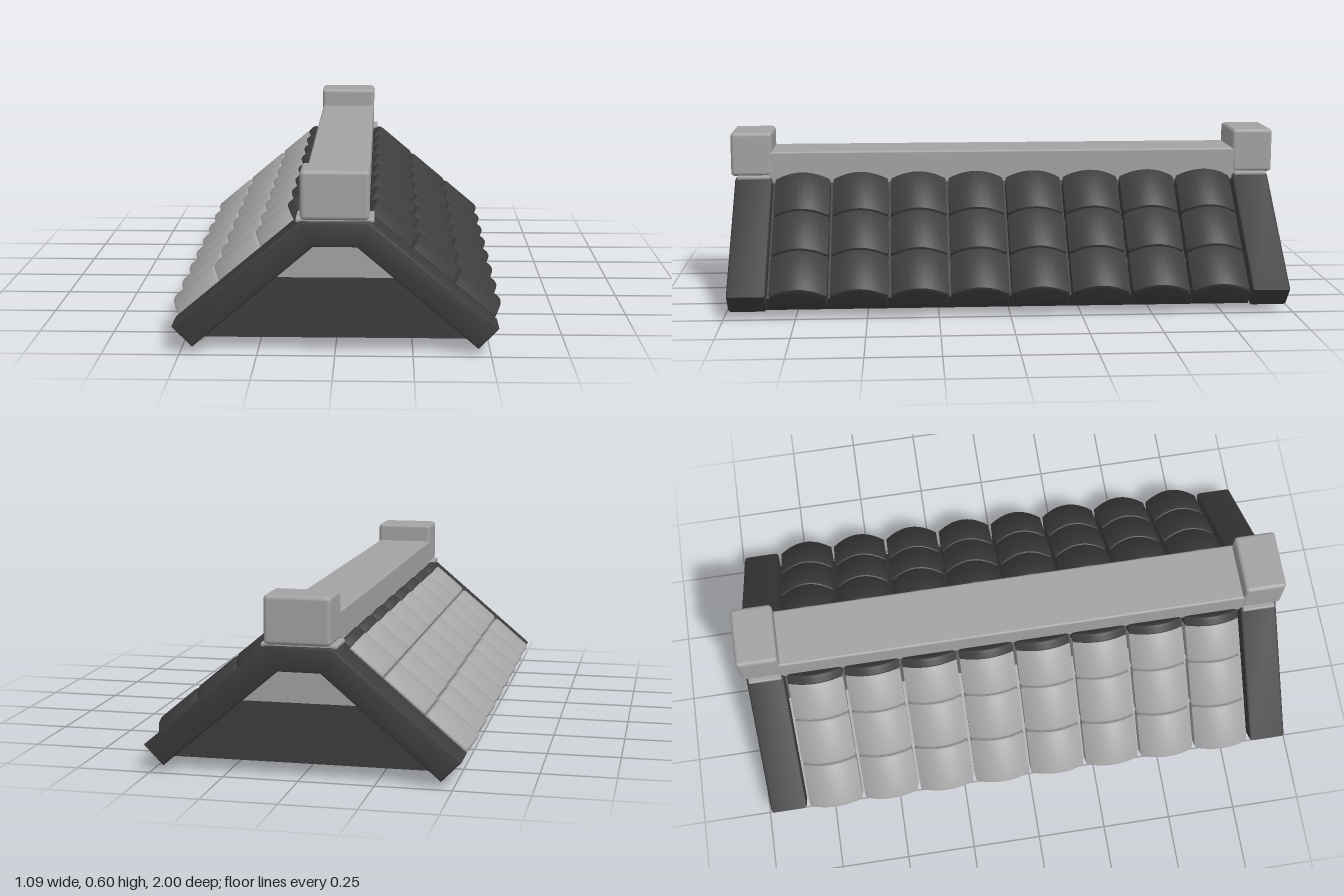
import * as THREE from 'three';
import { toCreasedNormals } from 'three/addons/utils/BufferGeometryUtils.js';
import { RoundedBoxGeometry } from 'three/addons/geometries/RoundedBoxGeometry.js';

const light = new THREE.MeshStandardMaterial({ color: 0xa3a3a3 });
light.name = 'light grey';
const dark = new THREE.MeshStandardMaterial({ color: 0x3d3d3d });
dark.name = 'dark grey';

const PITCH = 40 * Math.PI / 180;
const C = Math.cos(PITCH), S = Math.sin(PITCH);

function add(parent, name, geometry, material, x = 0, y = 0, z = 0) {
  const mesh = new THREE.Mesh(geometry, material);
  mesh.name = name;
  mesh.position.set(x, y, z);
  parent.add(mesh);
  return mesh;
}

function polygon(points) {
  return new THREE.Shape(points.map(([x, y]) => new THREE.Vector2(x, y)));
}

// Extrusion centred on z, with a softened edge that keeps the outline size
function slab(shape, depth, bevel) {
  const g = new THREE.ExtrudeGeometry(shape, {
    depth: depth - 2 * bevel, bevelEnabled: bevel > 0, bevelSize: bevel,
    bevelThickness: bevel, bevelOffset: -bevel, bevelSegments: 2, curveSegments: 10,
  });
  g.translate(0, 0, -depth / 2 + bevel);
  return toCreasedNormals(g, 0.6);
}

// Arched tile section: x across the tile, y out of the roof
function tileShape() {
  const w = 0.1, base = 0.33, side = 0.402, peak = 0.441;
  const s = new THREE.Shape();
  s.moveTo(-w, base);
  s.lineTo(w, base);
  s.lineTo(w, side);
  s.quadraticCurveTo(0, 2 * peak - side, -w, side);
  s.closePath();
  return s;
}

// One slope; local y points out of the roof and local z runs down it
function roofSlope(side, material) {
  const slope = new THREE.Group();
  slope.name = side > 0 ? 'leftSlope' : 'rightSlope';
  slope.quaternion.setFromRotationMatrix(new THREE.Matrix4().makeBasis(
    new THREE.Vector3(0, 0, -side),
    new THREE.Vector3(S * side, C, 0),
    new THREE.Vector3(C * side, -S, 0)));

  // Roof boards under the tiles, dark near the ridge
  const boards = (name, from, to, mat) => add(slope, name,
    new THREE.BoxGeometry(1.71, 0.064, to - from), mat, 0, 0.315, (from + to) / 2);
  boards('upperRoofBoard', -0.25, -0.08, dark);
  boards('lowerRoofBoard', -0.08, side > 0 ? 0.315 : 0.34, material);

  // Three courses of eight tiles
  const rows = 3, top = -0.194, length = 0.181, tip = 0.03;
  const full = slab(tileShape(), length - 0.002, 0.012);
  const short = slab(tileShape(), length - tip, 0.012);
  const end = slab(tileShape(), tip + 0.014, 0.012);
  for (let r = 0; r < rows; r++) {
    for (let i = 0; i < 8; i++) {
      const x = (i - 3.5) * 0.211;
      const z = top + (r + 0.5) * length;
      if (r === 0 && side < 0) {
        add(slope, 'tileTip', end, dark, x, 0, top + (tip + 0.014) / 2);
        add(slope, 'tile', short, material, x, 0, z + tip / 2);
      } else {
        add(slope, 'tile', full, material, x, 0, z);
      }
    }
  }
  return slope;
}

// Frame, infill panels and ridge block closing one end
function gableEnd(side) {
  const end = new THREE.Group();
  end.name = side > 0 ? 'frontGable' : 'backGable';
  const frame = polygon([
    [-0.46, 0.018], [-0.07, 0.35], [0.07, 0.35], [0.46, 0.018],
    [0.525, 0.085], [0.11, 0.435], [-0.11, 0.435], [-0.525, 0.085],
  ]);
  add(end, 'gableFrame', slab(frame, 0.135, 0.01), dark, 0, 0, side * 0.918);
  const lower = polygon([[-0.445, 0.04], [0.445, 0.04], [0.21, 0.24], [-0.21, 0.24]]);
  const upper = polygon([[-0.21, 0.24], [0.21, 0.24], [0.075, 0.36], [-0.075, 0.36]]);
  add(end, 'gablePanel', slab(lower, 0.06, 0), dark, 0, 0, side * 0.905);
  add(end, 'gableVentPanel', slab(upper, 0.06, 0), light, 0, 0, side * 0.905);
  add(end, 'ridgeSeat', new RoundedBoxGeometry(0.25, 0.014, 0.12, 2, 0.005), light, 0, 0.436, side * 0.918);
  add(end, 'ridgeBlock', new RoundedBoxGeometry(0.22, 0.16, 0.15, 3, 0.014), light, 0, 0.52, side * 0.925);
  return end;
}

export function createModel() {
  const model = new THREE.Group();
  model.name = 'tiledRoof';
  model.add(roofSlope(1, dark), roofSlope(-1, light));
  model.add(gableEnd(1), gableEnd(-1));
  // Ridge beam between the end blocks
  add(model, 'ridgeBeam', new RoundedBoxGeometry(0.215, 0.12, 1.74, 2, 0.008), light, 0, 0.47, 0);
  return model;
}
